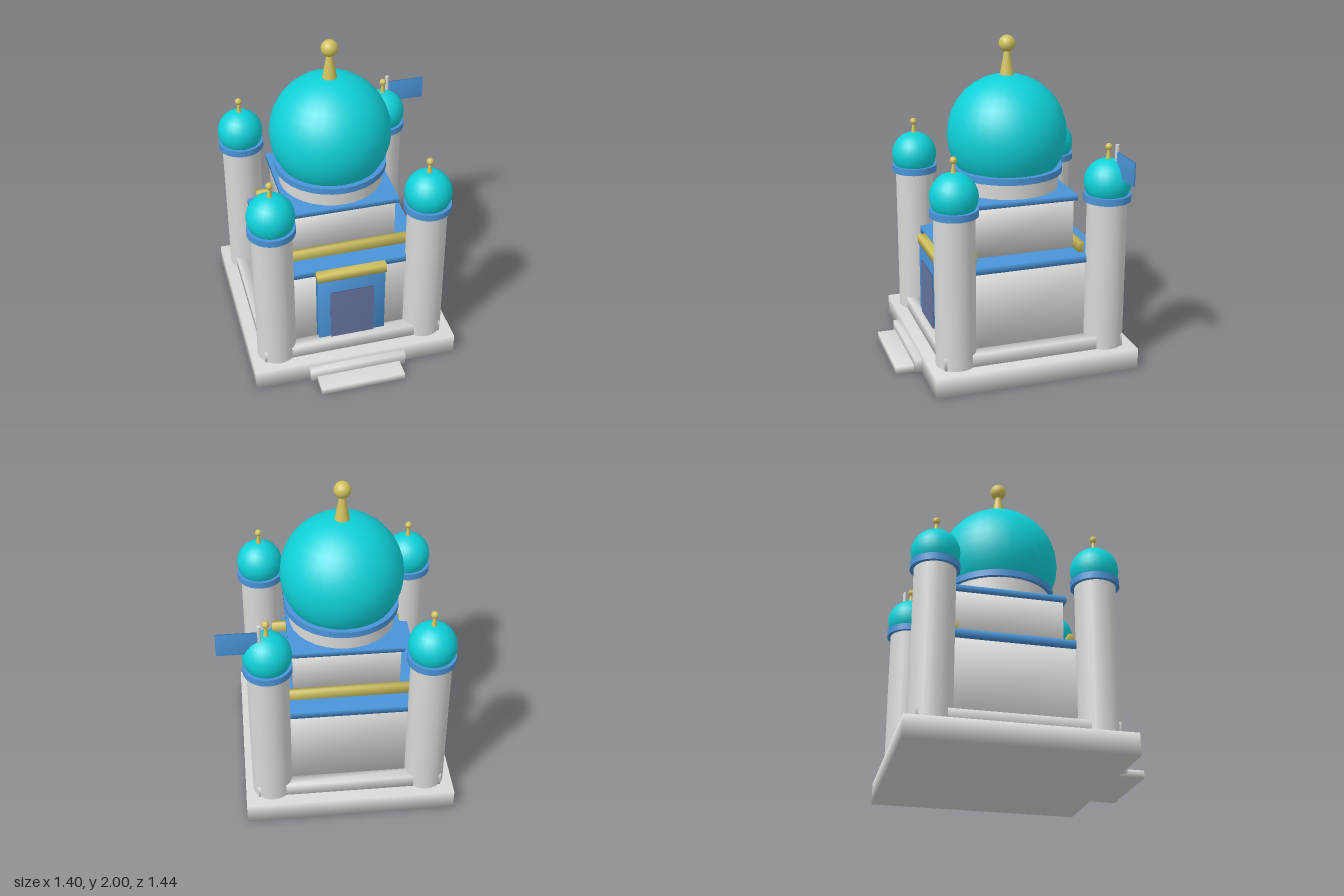
import * as THREE from 'three';
import { mergeVertices } from 'three/addons/utils/BufferGeometryUtils.js';

export function createModel() {
  const model = new THREE.Group();
  model.name = 'domedMausoleum';
  const paint = (name, color) => {
    const m = new THREE.MeshStandardMaterial({ color });
    m.name = name;
    return m;
  };
  const stone = paint('paleStone', 0xd8d8d6);
  const teal = paint('tealDome', 0x0fd0d8);
  const blue = paint('blueTrim', 0x4a94d8);
  const gold = paint('goldTrim', 0xd2c25e);
  const slate = paint('slateDoor', 0x66749f);

  const add = (parent, name, geo, mat, x, y, z) => {
    const mesh = new THREE.Mesh(geo, mat);
    mesh.name = name;
    mesh.position.set(x, y, z);
    parent.add(mesh);
    return mesh;
  };

  // Box given by its limits, with shared corners for soft shading
  const block = (parent, name, mat, [x0, x1], [y0, y1], [z0, z1]) => {
    let geo = new THREE.BoxGeometry(x1 - x0, y1 - y0, z1 - z0);
    geo.deleteAttribute('normal');
    geo.deleteAttribute('uv');
    geo = mergeVertices(geo);
    geo.computeVertexNormals();
    return add(parent, name, geo, mat, (x0 + x1) / 2, (y0 + y1) / 2, (z0 + z1) / 2);
  };

  // Round part standing between two heights
  const drum = (parent, name, mat, rTop, rBottom, y0, y1, seg = 32) =>
    add(parent, name, new THREE.CylinderGeometry(rTop, rBottom, y1 - y0, seg), mat, 0, (y0 + y1) / 2, 0);
  const ball = (parent, name, mat, r, y, seg = 32) =>
    add(parent, name, new THREE.SphereGeometry(r, seg, seg / 2), mat, 0, y, 0);

  // The building is centred on its own axis; flag and steps are off-centre
  const building = new THREE.Group();
  building.name = 'building';
  building.position.set(-0.06, 0, -0.08);
  model.add(building);
  const square = (name, mat, half, y) =>
    block(building, name, mat, [-half, half], y, [-half, half]);

  // Base and low surrounding walls
  square('base', stone, 0.643, [0, 0.13]);
  for (const s of [-1, 1]) {
    const edge = [0.49 * s, 0.567 * s].sort((a, b) => a - b);
    block(building, 'lowWall', stone, [-0.567, 0.567], [0.13, 0.21], edge);
    block(building, 'lowWall', stone, edge, [0.13, 0.21], [-0.49, 0.49]);
  }

  // Two storeys with cornices
  square('lowerStorey', stone, 0.45, [0.13, 0.68]);
  square('lowerCornice', blue, 0.475, [0.675, 0.72]);
  square('upperStorey', stone, 0.323, [0.72, 1.035]);
  square('upperCornice', blue, 0.342, [1.03, 1.065]);

  // Gold bars against the front and back of the upper storey
  for (const s of [-1, 1])
    block(building, 'goldBar', gold, [-0.417, 0.417], [0.72, 0.785],
      [0.325 * s, 0.357 * s].sort((a, b) => a - b));

  // Doorway
  block(building, 'doorFrame', blue, [-0.21, 0.21], [0.13, 0.67], [0.44, 0.52]);
  block(building, 'door', slate, [-0.137, 0.137], [0.13, 0.565], [0.521, 0.53]);
  block(building, 'doorLintel', gold, [-0.217, 0.217], [0.66, 0.712], [0.45, 0.527]);

  // Main dome
  drum(building, 'domeDrum', stone, 0.322, 0.322, 1.06, 1.165);
  drum(building, 'domeRing', blue, 0.345, 0.345, 1.16, 1.2);
  ball(building, 'mainDome', teal, 0.37, 1.395);
  drum(building, 'mainFinial', gold, 0.015, 0.045, 1.755, 1.92, 20);
  ball(building, 'mainFinialBall', gold, 0.051, 1.949, 20);

  // Corner towers
  for (const sx of [-1, 1]) for (const sz of [-1, 1]) {
    const tower = new THREE.Group();
    tower.name = 'cornerTower';
    tower.position.set(0.475 * sx, 0, 0.475 * sz);
    building.add(tower);
    drum(tower, 'towerShaft', stone, 0.122, 0.122, 0.13, 1.07, 24);
    drum(tower, 'towerRing', blue, 0.144, 0.144, 1.065, 1.107, 24);
    ball(tower, 'towerDome', teal, 0.143, 1.178, 24);
    drum(tower, 'towerFinial', gold, 0.006, 0.017, 1.315, 1.38, 12);
    ball(tower, 'towerFinialBall', gold, 0.022, 1.392, 12);
  }

  // Front steps
  block(model, 'upperStep', stone, [-0.365, 0.245], [0.015, 0.095], [0.5, 0.605]);
  block(model, 'lowerStep', stone, [-0.325, 0.207], [0, 0.045], [0.5, 0.72]);

  // Flag behind the back left tower's dome
  add(model, 'flagPole', new THREE.CylinderGeometry(0.012, 0.012, 0.26, 10), stone, 0.455, 1.28, -0.592);
  block(model, 'flag', blue, [0.46, 0.7], [1.225, 1.367], [-0.598, -0.586]);

  return model;
}
